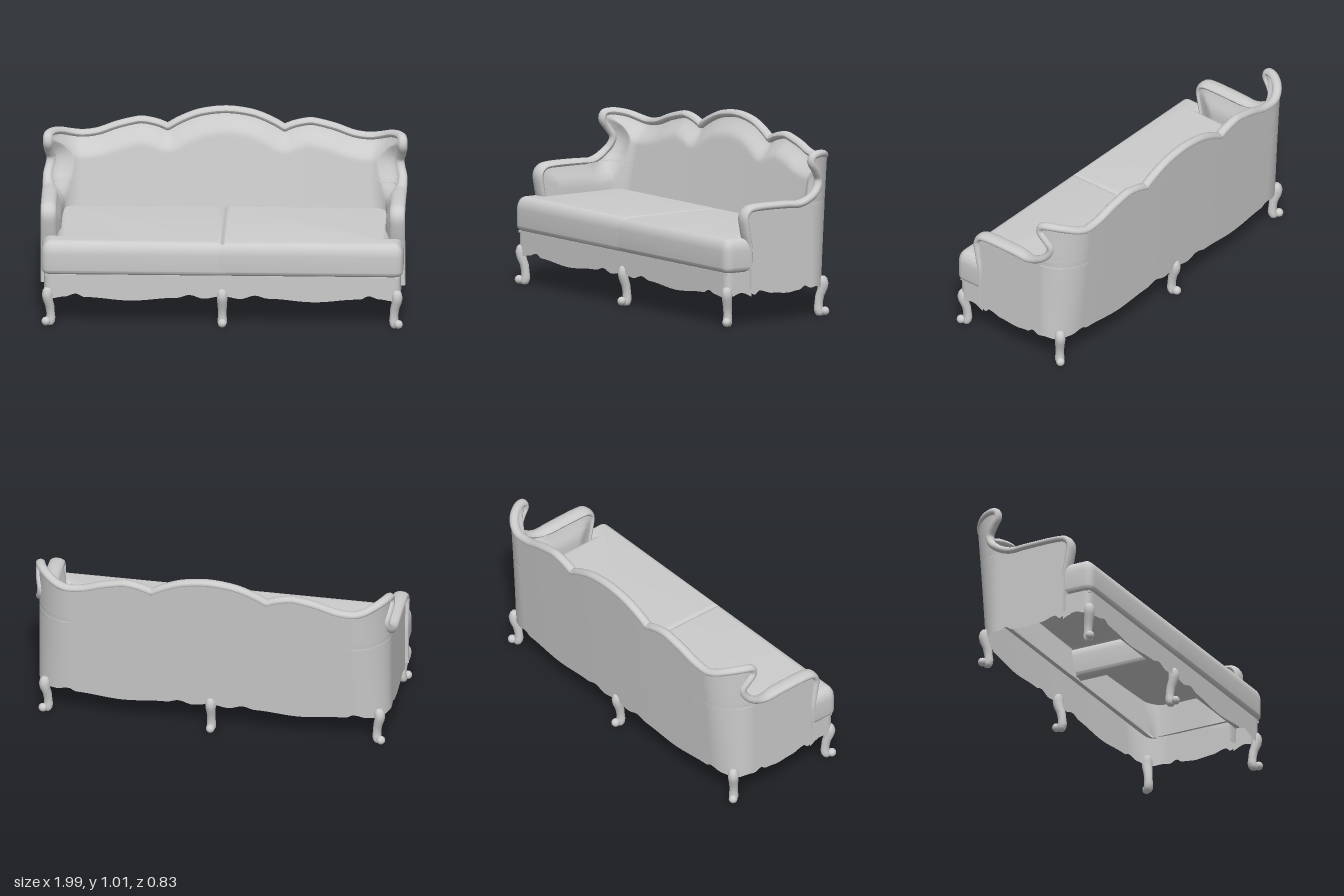
import * as THREE from 'three';
import { toCreasedNormals } from 'three/addons/utils/BufferGeometryUtils.js';

const solid = new THREE.MeshStandardMaterial({ color: 0xcccccc });
const thin = new THREE.MeshStandardMaterial({ color: 0xcccccc, side: THREE.DoubleSide });
const { lerp, smoothstep, clamp } = THREE.MathUtils;
const Q_END = 1.46, ARM_Y = 0.63;

// Smooth lookup in a list of [key, value] pairs
function lookup(table, k) {
  let i = 1;
  while (i < table.length - 1 && table[i][0] < k) i++;
  const [a, b] = [table[i - 1], table[i]];
  const t = clamp((k - a[0]) / (b[0] - a[0]), 0, 1);
  return lerp(a[1], b[1], (1 - Math.cos(t * Math.PI)) / 2);
}

// Carved top edge of one half: [distance round the plan from the arm front, height]
const edge = [
  [0.015, 0.2], [0.012, 0.42], [-0.006, 0.52], [-0.014, 0.6], [0.01, 0.632], [0.05, 0.641],
  [0.25, 0.641], [0.35, 0.638], [0.42, 0.665], [0.475, 0.71], [0.492, 0.76], [0.465, 0.81],
  [0.43, 0.86], [0.44, 0.89], [0.48, 0.9], [0.55, 0.89], [0.62, 0.865], [0.67, 0.855],
  [0.76, 0.865], [0.86, 0.9], [0.96, 0.925], [1.0, 0.93], [1.08, 0.915], [1.13, 0.896],
  [1.14, 0.891], [1.15, 0.896], [1.2, 0.925], [1.3, 0.967], [1.4, 0.986], [Q_END, 0.99]];
const edgeCurve = new THREE.CatmullRomCurve3(edge.map(([q, y]) => new THREE.Vector3(q, y, 0)));
const edgePoints = edgeCurve.getPoints(240);
const armFront = edge.slice(0, 5).map(([q, y]) => [y, q]);
const wingFront = [[ARM_Y, 0.3], ...edge.slice(7, 14).map(([q, y]) => [y, q])];
const crest = edge.slice(13);

// Scalloped lower edge
const scallop = [
  [0, 0.175], [0.03, 0.165], [0.06, 0.185], [0.15, 0.165], [0.25, 0.157], [0.33, 0.165],
  [0.37, 0.185], [0.41, 0.17], [0.45, 0.175], [0.53, 0.16], [0.6, 0.17], [0.66, 0.187],
  [0.71, 0.168], [0.96, 0.15], [1.21, 0.168], [1.28, 0.185], [1.36, 0.165], [Q_END, 0.18]];

// Point on the U-shaped plan at distance q and height y, moved inward by off; the back leans
function wall(side, q, y, off = 0) {
  let x, z, nx = -1, nz = 0;
  if (q < 0.43) { x = 0.975; z = 0.25 - q; }
  else if (q < 0.68) {
    const a = (q - 0.43) / 0.25 * Math.PI / 2;
    nx = -Math.cos(a); nz = Math.sin(a);
    x = 0.78 - 0.195 * nx; z = -0.18 - 0.145 * nz;
  } else {
    x = Q_END - q; z = -0.325 - 0.015 * (1 - (x / 0.78) ** 2);
    nx = 0; nz = 1;
  }
  z -= 0.09 * (y - 0.17) * smoothstep(q, 0.43, 0.68);
  return new THREE.Vector3(side * (x + nx * off), y, z + nz * off);
}

// Padding depth: thin beside the carved edge, full further away from it
function padding(q, y) {
  let d = 1;
  for (const p of edgePoints) d = Math.min(d, Math.hypot(p.x - q, p.y - y));
  const full = lerp(0.09, 0.125 - 0.1 * (y - 0.45), smoothstep(q, 0.3, 0.68));
  const rim = lerp(0.055, 0.018, smoothstep(q, 0.3, 0.45));
  return lerp(rim, full, smoothstep(d, 0, 0.12));
}

// Grid surface from a rule fn(u, v), u and v in 0..1
function grid(cols, rows, fn) {
  const pos = [], idx = [], w = cols + 1;
  for (let j = 0; j <= rows; j++)
    for (let i = 0; i <= cols; i++) pos.push(...fn(i / cols, j / rows).toArray());
  for (let j = 0; j < rows; j++)
    for (let i = 0; i < cols; i++) {
      const a = j * w + i;
      idx.push(a, a + 1, a + w, a + 1, a + w + 1, a + w);
    }
  const g = new THREE.BufferGeometry();
  g.setAttribute('position', new THREE.Float32BufferAttribute(pos, 3));
  g.setIndex(idx);
  g.computeVertexNormals();
  return g;
}

// Lower wall, from the scallops (or seat level inside) to arm height
function lowerWall(inner) {
  return grid(400, 12, (u, v) => {
    const s = u * 2 - 1, k = 1 - Math.abs(s);
    const y0 = inner ? 0.28 : lookup(scallop, k * Q_END);
    const y = lerp(y0, ARM_Y, v), q = lerp(lookup(armFront, y), Q_END, k);
    return wall(Math.sign(s) || 1, q, y, inner ? padding(q, y) : 0);
  });
}

// Upper wall, the back and wings above arm height
function upperWall(inner) {
  return grid(360, 20, (u, v) => {
    const s = u * 2 - 1, k = 1 - Math.abs(s);
    const y = lerp(ARM_Y, lookup(crest, lerp(0.44, Q_END, k)), v);
    const q = lerp(lookup(wingFront, y), Q_END, k);
    return wall(Math.sign(s) || 1, q, y, inner ? padding(q, y) : 0);
  });
}

// Rounded rail following the carved edge, broader along the arms, flush with the back
function railGeometry() {
  const at = (u) => {
    const s = u * 2 - 1, p = edgeCurve.getPoint(1 - Math.abs(s));
    const half = lerp(0.042, 0.026, smoothstep(p.x, 0.25, 0.45));
    const proud = lerp(0.02, 0.002, smoothstep(p.x, 0.43, 0.68));
    const point = (off) => wall(Math.sign(s) || 1, p.x, p.y, off);
    return { c: point(half - proud), n: point(1).sub(point(0)), half, y: p.y };
  };
  return grid(320, 12, (u, v) => {
    const { c, n, half, y } = at(u);
    const t = at(Math.min(1, u + 0.002)).c.sub(at(Math.max(0, u - 0.002)).c).normalize();
    const b = t.cross(n).normalize(), a = v * Math.PI * 2;
    const thick = lerp(0.006, 0.021, smoothstep(y, 0.25, 0.58));
    return c.addScaledVector(n, half * Math.cos(a)).addScaledVector(b, thick * Math.sin(a));
  });
}

// Skirt below the seat front, with rounded corners running back to the arms
function skirtGeometry() {
  const path = new THREE.Path();
  path.moveTo(-0.972, 0.225).lineTo(-0.972, 0.35).quadraticCurveTo(-0.972, 0.39, -0.93, 0.39);
  path.lineTo(0.93, 0.39).quadraticCurveTo(0.972, 0.39, 0.972, 0.35).lineTo(0.972, 0.225);
  return grid(240, 3, (u, v) => {
    const p = path.getPointAt(u);
    const low = p.y < 0.35 ? 0.165 + 0.017 * Math.sin((0.35 - p.y) * 30) : lookup(scallop, Q_END - Math.abs(p.x));
    return new THREE.Vector3(p.x, lerp(low, 0.297, v), p.y);
  });
}

// Hollow seat cushion that widens in front of the arm, open underneath
function cushionGeometry(s) {
  const shape = new THREE.Shape();
  shape.moveTo(s * -0.02, 0.27).lineTo(s * -0.02, -0.405).lineTo(s * 0.93, -0.405);
  shape.quadraticCurveTo(s * 0.987, -0.405, s * 0.987, -0.355).lineTo(s * 0.987, -0.245);
  shape.lineTo(s * 0.915, -0.245).lineTo(s * 0.915, 0.19).quadraticCurveTo(s * 0.915, 0.27, s * 0.83, 0.27);
  const g = new THREE.ExtrudeGeometry(shape, {
    depth: 0.09, bevelThickness: 0.07, bevelSize: 0.05, bevelOffset: -0.05, bevelSegments: 8, curveSegments: 8 });
  g.rotateX(-Math.PI / 2);
  const p = g.attributes.position, kept = [];
  for (let i = 0; i < p.count; i += 3) {
    const corners = [i, i + 1, i + 2];
    if (corners.every((k) => p.getY(k) < -0.069)) continue;
    for (const k of corners) kept.push(p.getX(k), p.getY(k) * (p.getY(k) < 0 ? 0.5 : 1) + 0.325, p.getZ(k));
  }
  const open = new THREE.BufferGeometry();
  open.setAttribute('position', new THREE.Float32BufferAttribute(kept, 3));
  return toCreasedNormals(open, 0.7);
}

// Curved leg with a scrolled toe, bowed along its local x
const bow = [[0, -0.02], [0.05, -0.028], [0.1, -0.02], [0.17, 0], [0.22, -0.004]];
function makeLeg(x, z, angle) {
  const profile = [[0, 0], [0.018, 0.002], [0.026, 0.018], [0.025, 0.04], [0.023, 0.07], [0.025, 0.11],
    [0.028, 0.15], [0.03, 0.18], [0.026, 0.205], [0.016, 0.218], [0, 0.22]];
  const g = new THREE.LatheGeometry(profile.map((p) => new THREE.Vector2(...p)), 16);
  const p = g.attributes.position;
  for (let i = 0; i < p.count; i++) p.setX(i, p.getX(i) + lookup(bow, p.getY(i)));
  g.computeVertexNormals();
  const leg = new THREE.Group();
  leg.name = 'leg';
  add(leg, 'legShaft', g);
  add(leg, 'legToe', new THREE.SphereGeometry(0.024, 14, 10)).position.set(0.01, 0.026, 0);
  leg.position.set(x, 0, z);
  leg.rotation.y = angle;
  return leg;
}

function add(parent, name, geometry, material = solid) {
  const mesh = new THREE.Mesh(geometry, material);
  mesh.name = name;
  parent.add(mesh);
  return mesh;
}

export function createModel() {
  const sofa = new THREE.Group();
  sofa.name = 'sofa';
  add(sofa, 'outerLowerPanel', lowerWall(false), thin);
  add(sofa, 'outerUpperPanel', upperWall(false), thin);
  add(sofa, 'innerLowerPadding', lowerWall(true), thin);
  add(sofa, 'innerUpperPadding', upperWall(true), thin);
  add(sofa, 'carvedRail', railGeometry(), thin);
  add(sofa, 'frontSkirt', skirtGeometry(), thin);
  add(sofa, 'seatFrame', new THREE.BoxGeometry(1.93, 0.012, 0.145)).position.set(0, 0.291, 0.315);
  for (const s of [1, -1]) {
    add(sofa, s > 0 ? 'leftCushion' : 'rightCushion', cushionGeometry(s), thin);
    sofa.add(makeLeg(s * 0.955, 0.38, s > 0 ? -Math.PI / 4 : -Math.PI * 0.75));
    sofa.add(makeLeg(s * 0.93, -0.288, s > 0 ? Math.PI / 4 : Math.PI * 0.75));
  }
  sofa.add(makeLeg(0, 0.385, -Math.PI / 2), makeLeg(0, -0.335, Math.PI / 2));
  return sofa;
}
